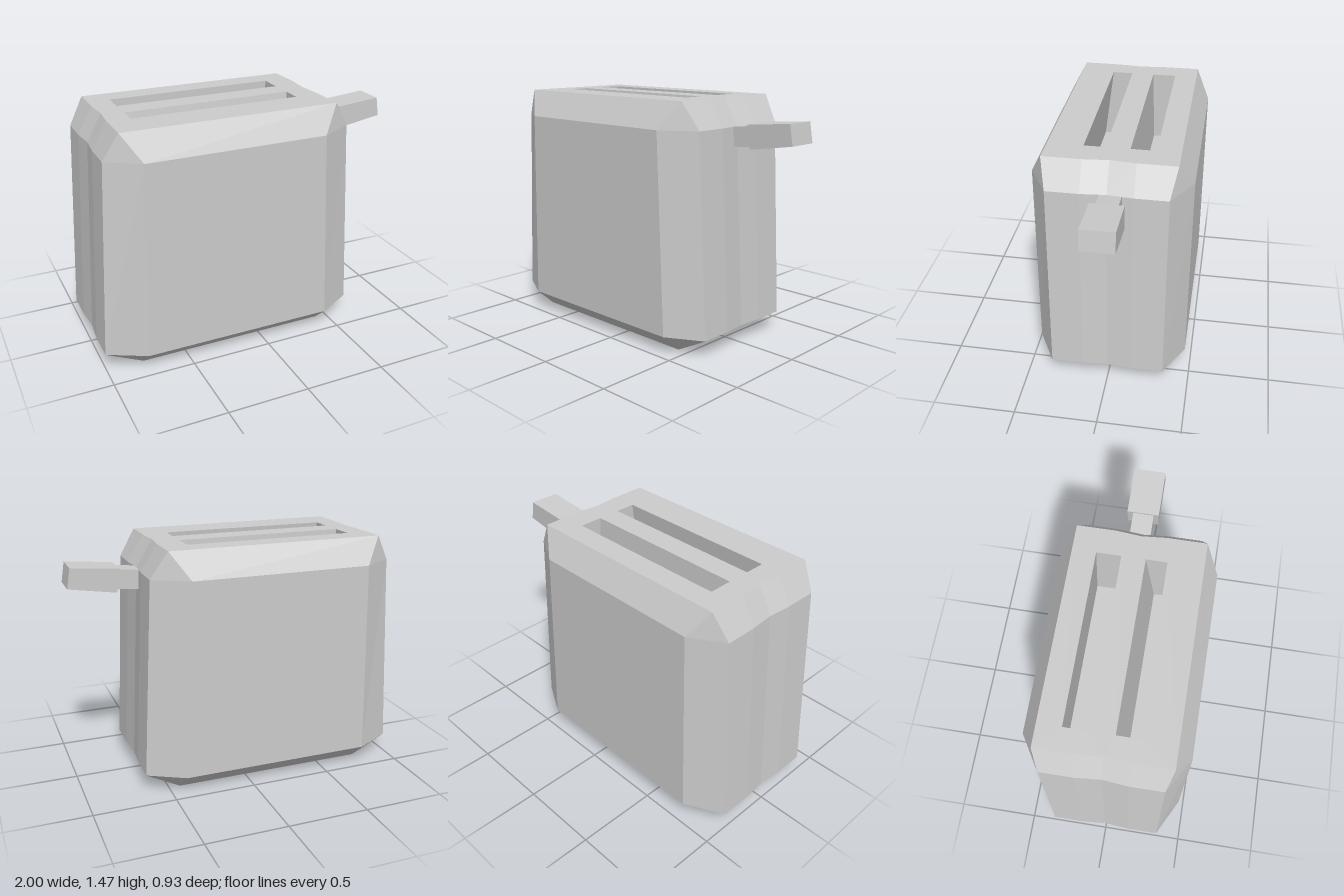
import * as THREE from 'three';

const material = new THREE.MeshStandardMaterial({ color: 0xcccccc, flatShading: true });

// Flat-faced skin through stacked rings of equal point count
function loft(rings, capBottom = false, floorUp = false) {
  const pos = [];
  const tri = (a, b, c) => pos.push(...a, ...b, ...c);
  for (let i = 0; i < rings.length - 1; i++) {
    const lo = rings[i], hi = rings[i + 1], n = lo.length;
    for (let j = 0; j < n; j++) {
      const k = (j + 1) % n;
      tri(lo[j], lo[k], hi[k]);
      tri(lo[j], hi[k], hi[j]);
    }
  }
  if (capBottom) {
    const r = rings[0];
    for (let j = 1; j < r.length - 1; j++) {
      if (floorUp) tri(r[0], r[j], r[j + 1]);
      else tri(r[0], r[j + 1], r[j]);
    }
  }
  const g = new THREE.BufferGeometry();
  g.setAttribute('position', new THREE.Float32BufferAttribute(pos, 3));
  g.computeVertexNormals();
  return g;
}

// Body section: chamfered rectangle whose end faces are slightly pinched in the middle
function bodyRing({ y, xl, xr, fl, fr, zEnd, zFront }) {
  const pinch = 0.013;
  const ring = [[fl, y, zFront], [fr, y, zFront]];
  for (const z of [zEnd, 0.15, 0, -0.15, -zEnd]) ring.push([z === 0 ? xr - pinch : xr, y, z]);
  ring.push([fr, y, -zFront], [fl, y, -zFront]);
  for (const z of [-zEnd, -0.15, 0, 0.15, zEnd]) ring.push([z === 0 ? xl + pinch : xl, y, z]);
  return ring;
}

// Rectangle at height y, wound so that lofted walls face inward
function slotRing(y, z0, z1) {
  return [[-0.71, y, z0], [0.325, y, z0], [0.325, y, z1], [-0.71, y, z1]];
}

// Block with a four-cornered side profile in x,y
function block(corners, z0, z1) {
  const shape = new THREE.Shape(corners.map(([x, y]) => new THREE.Vector2(x, y)));
  return new THREE.ExtrudeGeometry(shape, { depth: z1 - z0, bevelEnabled: false }).translate(0, 0, z0);
}

export function createModel() {
  const group = new THREE.Group();
  const add = (name, geometry) => {
    const mesh = new THREE.Mesh(geometry, material);
    mesh.name = name;
    group.add(mesh);
  };

  // Housing, chamfered at the base, shoulders and corners
  const topY = 1.47;
  const rings = [
    { y: 0, xl: -0.77, xr: 0.43, fl: -0.77, fr: 0.43, zEnd: 0.345, zFront: 0.345 },
    { y: 0.11, xl: -1, xr: 0.64, fl: -0.77, fr: 0.42, zEnd: 0.345, zFront: 0.465 },
    { y: 1.31, xl: -0.935, xr: 0.58, fl: -0.74, fr: 0.37, zEnd: 0.345, zFront: 0.465 },
    { y: topY, xl: -0.845, xr: 0.48, fl: -0.845, fr: 0.48, zEnd: 0.38, zFront: 0.38 },
  ].map(bodyRing);
  add('housing', loft(rings, true));

  // Bread slots: opening and floor z ranges, the walls leaning slightly
  const slots = [
    { open: [-0.24, -0.095], floor: [-0.25, -0.11] },
    { open: [0.045, 0.17], floor: [0.105, 0.23] },
  ];
  const slotDepth = 0.45;

  // Top plate with the two openings
  const outline = rings[3].filter((p, i) => i !== 0 && i !== 1 && i !== 7 && i !== 8);
  const plate = new THREE.Shape(outline.map(([x, , z]) => new THREE.Vector2(x, -z)));
  for (const { open } of slots) {
    plate.holes.push(new THREE.Path(slotRing(0, ...open).map(([x, , z]) => new THREE.Vector2(x, -z))));
  }
  add('topPlate', new THREE.ShapeGeometry(plate).rotateX(-Math.PI / 2).translate(0, topY, 0));

  for (const { open, floor } of slots) {
    const walls = [slotRing(topY - slotDepth, ...floor), slotRing(topY, ...open)];
    const g = loft(walls, true, false);
    add('breadSlot', g);
  }

  // Lever on the right end
  add('leverStem', block([[0.5, 1.19], [0.72, 1.207], [0.71, 1.326], [0.5, 1.302]], -0.085, 0.04));
  add('leverKnob', block([[0.715, 1.195], [1, 1.24], [0.98, 1.36], [0.695, 1.335]], -0.12, 0.07));

  return group;
}
